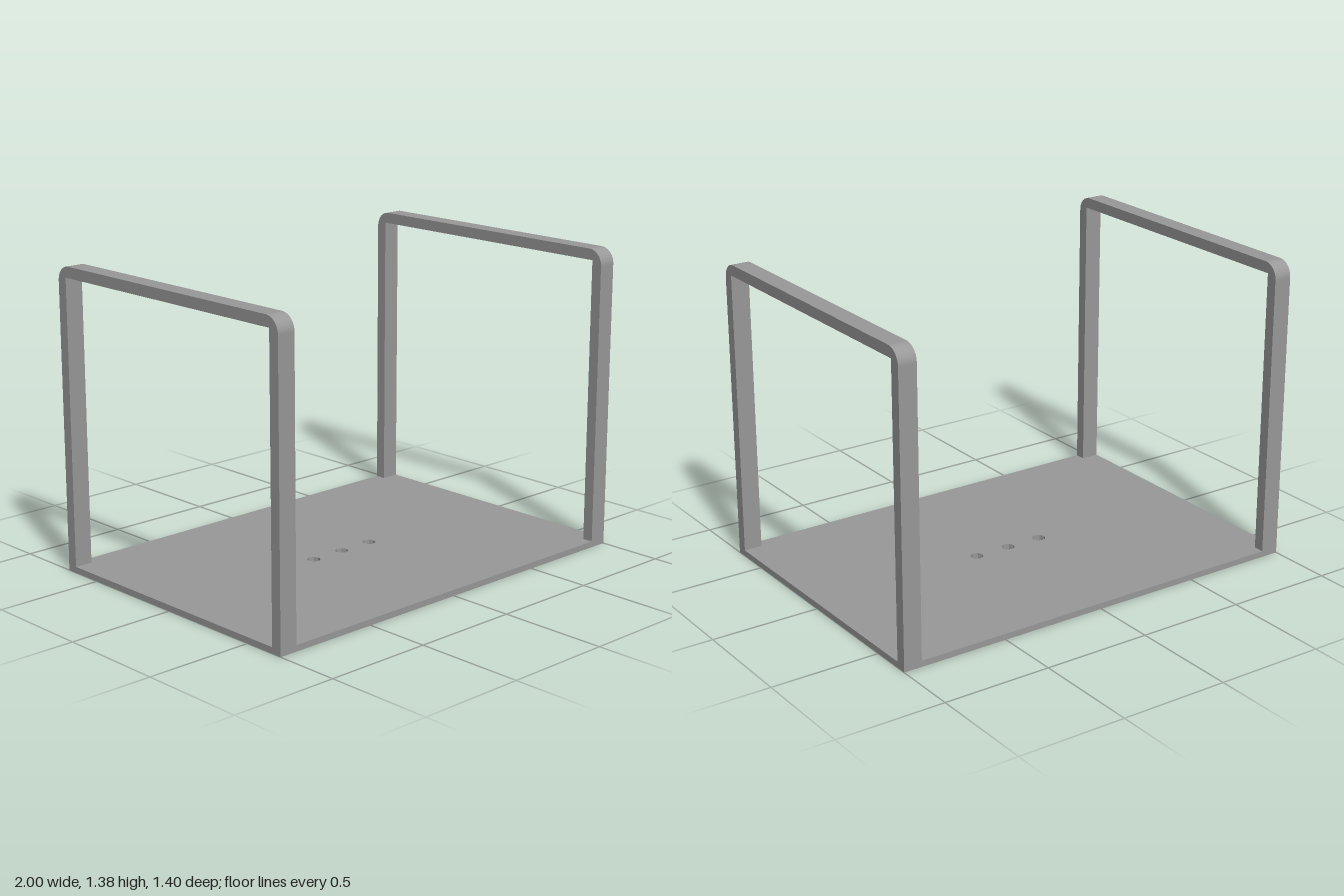
import * as THREE from 'three';

const HALF_X = 1, HALF_Z = 0.7, HEIGHT = 1.38;
const BASE = 0.028, BAR = 0.05, BAR_WIDTH = 0.085, CORNER = 0.07;

// Flat plate with a row of three small drain holes
function basePlate(material) {
  const s = new THREE.Shape();
  s.moveTo(-HALF_X, -HALF_Z).lineTo(HALF_X, -HALF_Z).lineTo(HALF_X, HALF_Z).lineTo(-HALF_X, HALF_Z).closePath();
  for (const x of [-0.172, 0, 0.172]) {
    s.holes.push(new THREE.Path().absarc(x, 0, 0.031, 0, Math.PI * 2, true));
  }
  const geo = new THREE.ExtrudeGeometry(s, { depth: BASE, bevelEnabled: false, curveSegments: 4 });
  geo.rotateX(-Math.PI / 2);
  const mesh = new THREE.Mesh(geo, material);
  mesh.name = 'basePlate';
  return mesh;
}

// Upright arch: rounded outer corners, square inner corners
function archGeometry() {
  const z = HALF_Z, inZ = HALF_Z - BAR, inY = HEIGHT - BAR, r = CORNER;
  const s = new THREE.Shape();
  s.moveTo(inZ, BASE);
  s.lineTo(z, BASE);
  s.lineTo(z, HEIGHT - r);
  s.absarc(z - r, HEIGHT - r, r, 0, Math.PI / 2, false);
  s.lineTo(-z + r, HEIGHT);
  s.absarc(-z + r, HEIGHT - r, r, Math.PI / 2, Math.PI, false);
  s.lineTo(-z, BASE);
  s.lineTo(-inZ, BASE);
  s.lineTo(-inZ, inY);
  s.lineTo(inZ, inY);
  s.closePath();
  const geo = new THREE.ExtrudeGeometry(s, { depth: BAR_WIDTH, bevelEnabled: false, curveSegments: 12 });
  geo.translate(0, 0, -BAR_WIDTH / 2);
  geo.rotateY(-Math.PI / 2);
  return geo;
}

export function createModel() {
  const group = new THREE.Group();
  group.name = 'rack';
  const grey = new THREE.MeshStandardMaterial({ color: 0x999999 });
  grey.name = 'grey';

  group.add(basePlate(grey));

  const geo = archGeometry();
  for (const [name, side] of [['leftArch', 1], ['rightArch', -1]]) {
    const arch = new THREE.Mesh(geo, grey);
    arch.name = name;
    arch.position.x = side * (HALF_X - BAR_WIDTH / 2);
    group.add(arch);
  }
  return group;
}
